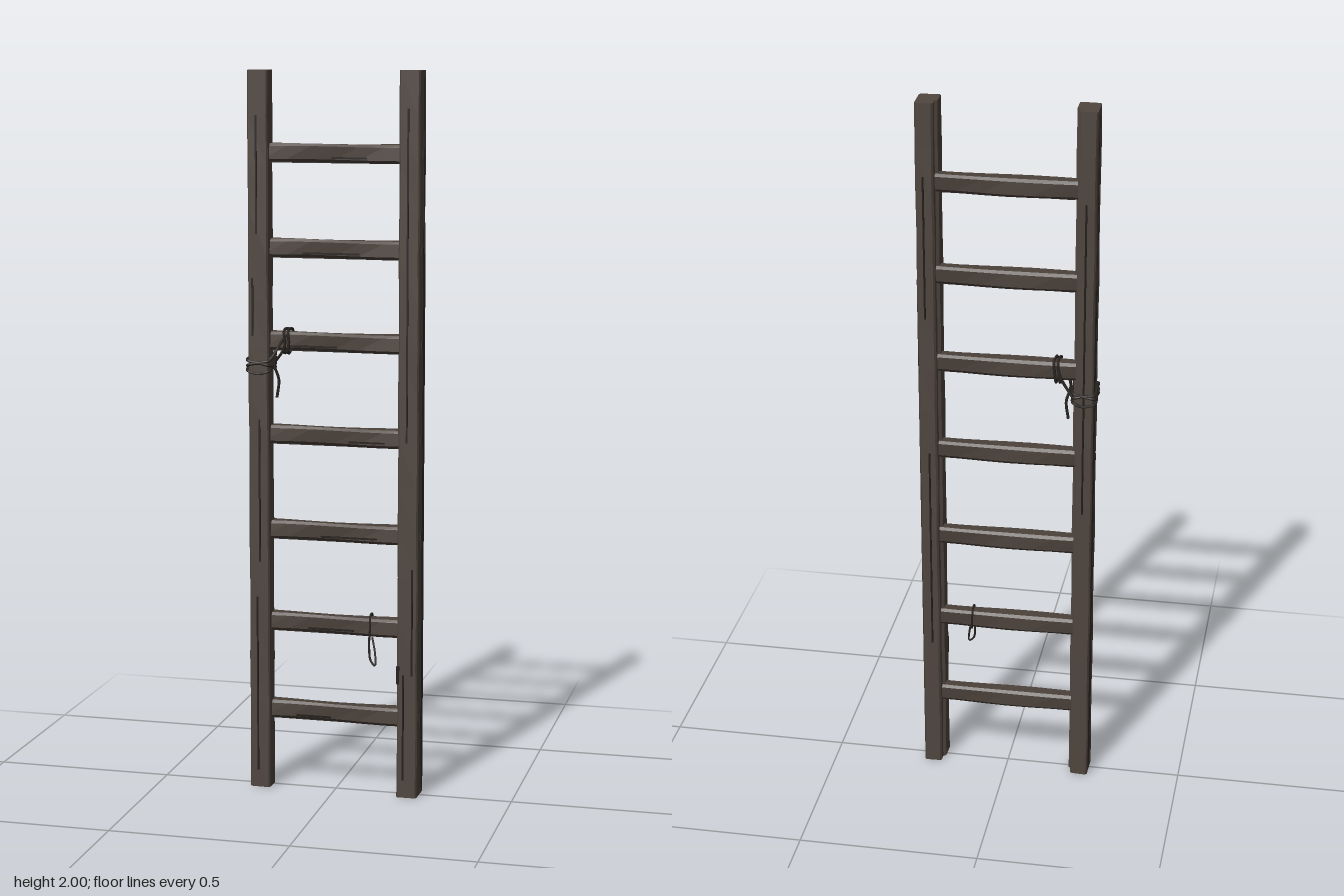
import * as THREE from 'three';

const mat = (name, color) => {
  const m = new THREE.MeshStandardMaterial({ color });
  m.name = name;
  return m;
};

export function createModel() {
  const railWood = mat('rail wood', 0x50463f);
  const rungWood = mat('rung wood', 0x4b413a);
  const darkWood = mat('dark wood', 0x352d28);
  const crackDark = mat('crack dark', 0x211c19);
  const ropeDark = mat('rope', 0x2a2522);
  const ladder = new THREE.Group();
  ladder.name = 'ladder';

  const add = (name, geometry, material, x = 0, y = 0, z = 0) => {
    const mesh = new THREE.Mesh(geometry, material);
    mesh.name = name;
    mesh.position.set(x, y, z);
    ladder.add(mesh);
    return mesh;
  };

  // Extrude a cross-section into a slightly uneven, flat-faced beam
  const beam = (points, depth, steps, wobble) => {
    const shape = new THREE.Shape(points.map(([a, b]) => new THREE.Vector2(a, b)));
    const g = new THREE.ExtrudeGeometry(shape, { depth, steps, bevelEnabled: false });
    const p = g.attributes.position;
    for (let i = 0; i < p.count; i++) {
      const x = p.getX(i), y = p.getY(i), z = p.getZ(i);
      p.setX(i, x + wobble * Math.sin(z * 17 + y * 60));
      p.setY(i, y + wobble * Math.sin(z * 13 + x * 50 + 1));
    }
    g.computeVertexNormals();
    return g;
  };

  // Rails: chamfered posts, narrower behind than in front
  const railSection = (s) => [
    [0.19, 0.037], [0.195, 0.042], [0.235, 0.042], [0.239, 0.037],
    [0.239, -0.033], [0.235, -0.038], [0.186, -0.038], [0.182, -0.033],
    [0.182, 0.013], [0.19, 0.018],
  ].map(([x, y]) => [x * s, y]);
  for (const s of [-1, 1]) {
    const g = beam(railSection(s), 2, 16, 0.001);
    g.rotateX(-Math.PI / 2);
    add(s > 0 ? 'leftRail' : 'rightRail', g, railWood);
    // Seam on the outer side, darkened wood on the lower rear
    add('railSeam', new THREE.BoxGeometry(0.004, 1.96, 0.005), crackDark, s * 0.2385, 1, -0.011);
    add('railShade', new THREE.BoxGeometry(0.004, 1.5, 0.024), darkWood, s * 0.238, 0.76, -0.025);
  }

  // Rungs: bevelled bars between the rails
  const rungSection = [
    [-0.01, -0.025], [0.018, -0.025], [0.025, -0.017], [0.025, 0.018],
    [0.018, 0.025], [-0.01, 0.025], [-0.017, 0.018], [-0.017, -0.017],
  ];
  const rungHeights = [0.222, 0.475, 0.737, 1.005, 1.265, 1.52, 1.778];
  rungHeights.forEach((y, i) => {
    const g = beam(rungSection, 0.4, 6, 0.0015);
    g.rotateY(Math.PI / 2);
    add('rung', g, rungWood, -0.2, y, 0);
    // Worn grain lines, front and underside
    add('rungGrain', new THREE.BoxGeometry(0.1 + 0.03 * (i % 3), 0.005, 0.004), crackDark,
      -0.06 + 0.05 * (i % 4), y - 0.012, 0.0165);
    add('rungUnderside', new THREE.BoxGeometry(0.36, 0.004, 0.02), darkWood, 0, y - 0.0245, -0.004);
    // Peg ends on the outside of the rails
    for (const s of [-1, 1])
      add('pegEnd', new THREE.BoxGeometry(0.008, 0.02, 0.012), darkWood, s * 0.238, y, 0.004);
  });

  // Cracks: [x, y, length, face direction]
  const cracks = [
    [-0.214, 1.72, 0.32, 1], [-0.226, 1.36, 0.16, 1], [-0.208, 0.85, 0.4, 1], [-0.216, 0.3, 0.5, 1],
    [0.224, 0.5, 0.3, 1], [0.207, 1.45, 0.9, 1], [0.2, 0.2, 0.3, 1],
    [-0.213, 1.3, 0.9, -1], [0.212, 0.7, 0.6, -1], [0.218, 1.6, 0.4, -1],
  ];
  for (const [x, y, len, side] of cracks)
    add('railCrack', new THREE.BoxGeometry(0.005, len, 0.004), crackDark, x, y, side > 0 ? 0.038 : -0.042);

  // Chipped dark edge low on the left rail
  add('chippedEdge', new THREE.BoxGeometry(0.008, 0.05, 0.008), crackDark, 0.185, 0.35, 0.036);

  // Ropes
  const rope = (name, pts, radius = 0.004, closed = false) => {
    const curve = new THREE.CatmullRomCurve3(pts.map((p) => new THREE.Vector3(...p)), closed);
    return add(name, new THREE.TubeGeometry(curve, pts.length * 6, radius, 6, closed), ropeDark);
  };
  // Coils around the right rail
  for (const [y, tilt] of [[1.185, 0.008], [1.2, -0.006], [1.213, 0.005]])
    rope('railCoil', [
      [-0.242, y, -0.042], [-0.243, y + tilt, 0], [-0.24, y, 0.041], [-0.21, y - tilt, 0.042],
      [-0.181, y, 0.04], [-0.179, y + tilt, 0], [-0.185, y, -0.043], [-0.21, y - tilt, -0.045],
    ], 0.004, true);
  // Loops around the fifth rung
  for (const x of [-0.143, -0.132])
    rope('rungCoil', [
      [x, 1.294, 0.016], [x + 0.004, 1.265, 0.021], [x, 1.236, 0.016],
      [x - 0.003, 1.236, -0.026], [x, 1.265, -0.031], [x + 0.003, 1.294, -0.026],
    ], 0.004, true);
  // Strands from the coils, with hanging tails
  rope('ropeStrand', [[-0.19, 1.205, 0.04], [-0.172, 1.225, 0.03], [-0.158, 1.25, 0.022], [-0.135, 1.285, 0.019]]);
  rope('ropeTail', [[-0.165, 1.24, 0.02], [-0.168, 1.2, 0.024], [-0.157, 1.16, 0.02], [-0.163, 1.11, 0.018]]);
  rope('rearStrand', [[-0.185, 1.2, -0.042], [-0.165, 1.225, -0.035], [-0.15, 1.25, -0.033], [-0.14, 1.28, -0.03]]);
  // Loose cord over the second rung
  rope('hangingCord', [
    [0.1, 0.45, -0.03], [0.098, 0.503, -0.026], [0.1, 0.505, 0.01], [0.102, 0.475, 0.021],
    [0.1, 0.43, 0.023], [0.106, 0.385, 0.03], [0.12, 0.372, 0.034], [0.118, 0.405, 0.028], [0.108, 0.45, 0.02],
  ], 0.003);

  return ladder;
}
